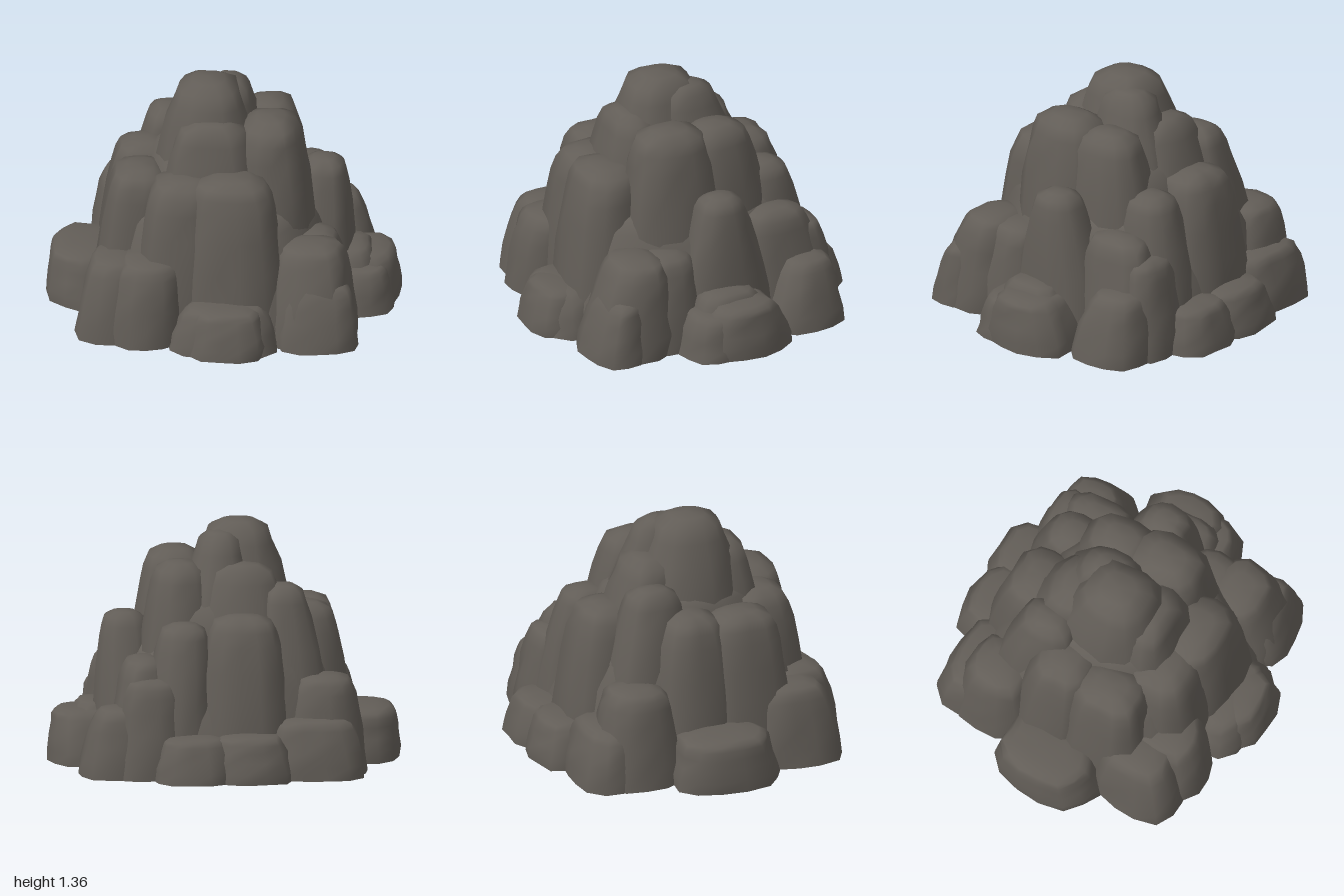
import * as THREE from 'three';

const rockMaterial = new THREE.MeshStandardMaterial({ color: 0x625d57 });
rockMaterial.name = 'dark rock grey';

// small seeded generator
function seeded(seed) {
  let s = seed * 7919 + 17;
  return () => {
    s = (s * 16807) % 2147483647;
    return s / 2147483647;
  };
}

// [height fraction, blend from base size to top size, inset]
const PROFILE = [
  [0, 0, 1], [0.22, 0.12, 1], [0.45, 0.36, 1], [0.66, 0.62, 1],
  [0.82, 0.85, 0.99], [0.91, 1, 0.95], [0.97, 1, 0.8], [1, 1, 0.45],
];
const SIDES = 14;

// Tapered, blocky boulder standing on the ground: base box b and top box t are [x0, x1, z0, z1]
function boulderGeometry(b, t, h, seed) {
  const rand = seeded(seed);
  for (let i = 0; i < 5; i++) rand();
  const pos = [], index = [];
  const turn = rand() * 0.4;
  const rib = Array.from({ length: SIDES }, () => 0.93 + 0.1 * rand());
  const mix = THREE.MathUtils.lerp;
  for (const [v, k, inset] of PROFILE) {
    const [x0, x1, z0, z1] = b.map((e, i) => mix(e, t[i], k));
    for (let i = 0; i < SIDES; i++) {
      const a = turn + (i / SIDES) * Math.PI * 2;
      const c = Math.cos(a), s = Math.sin(a);
      // rounded-square outline
      const q = Math.pow(Math.abs(c) ** 3 + Math.abs(s) ** 3, -1 / 3);
      const r = q * inset * Math.min(rib[i] * (0.96 + 0.08 * rand()), 1.02);
      pos.push((x0 + x1) / 2 + c * r * (x1 - x0) / 2, h * v, (z0 + z1) / 2 + s * r * (z1 - z0) / 2);
    }
  }
  const rows = PROFILE.length;
  for (let j = 0; j < rows - 1; j++) {
    for (let i = 0; i < SIDES; i++) {
      const n = (i + 1) % SIDES;
      const p = j * SIDES + i, u = p + SIDES, pn = j * SIDES + n, un = pn + SIDES;
      index.push(p, u, pn, pn, u, un);
    }
  }
  // crown
  const crown = pos.length / 3;
  pos.push((t[0] + t[1]) / 2, h * 1.01, (t[2] + t[3]) / 2);
  for (let i = 0; i < SIDES; i++) {
    const r = (rows - 1) * SIDES;
    index.push(r + i, crown, r + (i + 1) % SIDES);
  }
  // flat underside with its own corners
  const under = pos.length / 3;
  for (let i = 0; i < SIDES * 3; i++) pos.push(pos[i]);
  pos.push((b[0] + b[1]) / 2, 0, (b[2] + b[3]) / 2);
  for (let i = 0; i < SIDES; i++) index.push(under + i, under + (i + 1) % SIDES, under + SIDES);

  const g = new THREE.BufferGeometry();
  g.setAttribute('position', new THREE.Float32BufferAttribute(pos, 3));
  g.setIndex(index);
  g.computeVertexNormals();
  return g;
}

export function createModel() {
  const model = new THREE.Group();
  model.name = 'rockMound';
  let seed = 1;
  const rock = (name, base, top, h) => {
    const m = new THREE.Mesh(boulderGeometry(base, top, h, seed++), rockMaterial);
    m.name = name;
    model.add(m);
  };

  // summit
  rock('peak', [-0.54, 0.36, -0.48, 0.46], [-0.3, 0.12, -0.2, 0.25], 1.345);
  rock('peakBack', [-0.3, 0.42, -0.62, 0.2], [-0.12, 0.17, -0.28, 0.1], 1.3);
  rock('peakRear', [-0.42, 0.24, -0.66, 0], [-0.3, 0.12, -0.4, -0.05], 1.14);
  rock('peakFront', [-0.44, 0.3, 0, 0.54], [-0.28, 0.16, 0.08, 0.38], 1.17);
  rock('rightShoulderFront', [0, 0.57, -0.2, 0.47], [0.08, 0.45, -0.08, 0.38], 1.17);
  rock('rightShoulderBack', [0, 0.55, -0.52, 0.15], [0.08, 0.43, -0.35, 0.06], 1.14);

  // inner mass filling the clefts
  rock('lowerCore', [-0.76, 0.74, -0.76, 0.74], [-0.57, 0.53, -0.55, 0.52], 0.74);
  rock('upperCore', [-0.6, 0.56, -0.62, 0.58], [-0.42, 0.4, -0.42, 0.4], 0.98);

  // middle columns
  rock('frontColumn', [-0.25, 0.37, 0.2, 0.74], [-0.18, 0.29, 0.25, 0.64], 0.93);
  rock('frontColumnLeft', [-0.52, 0.06, 0.15, 0.69], [-0.42, 0, 0.2, 0.58], 0.9);
  rock('leftColumnFront', [-0.75, -0.3, -0.08, 0.48], [-0.64, -0.3, -0.02, 0.4], 0.88);
  rock('leftColumnBack', [-0.74, -0.25, -0.4, 0.12], [-0.63, -0.25, -0.3, 0.06], 0.9);
  rock('leftBackColumn', [-0.62, -0.12, -0.64, -0.1], [-0.46, -0.18, -0.46, -0.12], 1.03);
  rock('backColumn', [-0.36, 0.2, -0.77, -0.25], [-0.28, 0.12, -0.65, -0.3], 0.89);
  rock('backRightColumn', [0.06, 0.5, -0.75, -0.25], [0.1, 0.4, -0.6, -0.28], 0.84);
  rock('rightBackColumn', [0.28, 0.7, -0.72, -0.15], [0.34, 0.6, -0.6, -0.2], 0.65);
  rock('rightColumn', [0.35, 0.75, -0.35, 0.25], [0.42, 0.7, -0.17, 0.12], 0.84);
  rock('rightFrontColumn', [0.3, 0.74, 0.08, 0.58], [0.34, 0.66, 0.14, 0.46], 0.54);

  // lower boulders
  rock('frontLeftBoulder', [-0.64, -0.2, 0.3, 0.79], [-0.58, -0.23, 0.34, 0.71], 0.47);
  rock('frontLeftOuterBoulder', [-0.83, -0.4, 0.18, 0.73], [-0.75, -0.44, 0.24, 0.63], 0.45);
  rock('frontRightBoulder', [0.26, 0.77, 0.28, 0.8], [0.3, 0.7, 0.32, 0.65], 0.55);
  rock('frontRightLowBoulder', [0.3, 0.77, 0.46, 0.82], [0.36, 0.73, 0.5, 0.72], 0.36);
  rock('backLeftBoulder', [-0.78, -0.3, -0.74, -0.22], [-0.71, -0.36, -0.66, -0.3], 0.55);
  rock('backLeftLowBoulder', [-0.77, -0.2, -0.85, -0.4], [-0.7, -0.24, -0.78, -0.45], 0.33);
  rock('backRightBoulder', [0.4, 0.85, -0.75, -0.26], [0.46, 0.76, -0.68, -0.38], 0.39);
  rock('backRightInnerBoulder', [0.23, 0.66, -0.78, -0.38], [0.28, 0.6, -0.7, -0.42], 0.55);

  // outer foot stones
  rock('frontFootStone', [-0.3, 0.33, 0.5, 0.88], [-0.2, 0.25, 0.55, 0.82], 0.26);
  rock('frontFootStoneTip', [-0.2, 0.28, 0.55, 0.94], [-0.14, 0.23, 0.6, 0.88], 0.26);
  rock('backFootStone', [-0.36, 0.14, -0.94, -0.5], [-0.3, 0.1, -0.88, -0.55], 0.26);
  rock('backFootStoneRight', [-0.02, 0.44, -0.93, -0.5], [0.03, 0.39, -0.87, -0.55], 0.25);
  rock('leftFootStone', [-1, -0.55, -0.36, 0.29], [-0.97, -0.6, -0.31, 0.21], 0.3);
  rock('rightFootStone', [0.55, 1, -0.33, 0.24], [0.6, 0.97, -0.22, 0.16], 0.3);
  rock('rightFootStoneFront', [0.55, 0.96, -0.07, 0.33], [0.6, 0.92, -0.02, 0.27], 0.25);
  rock('rightFootStoneInner', [0.55, 0.92, -0.3, 0.28], [0.6, 0.84, -0.15, 0.18], 0.34);

  return model;
}
